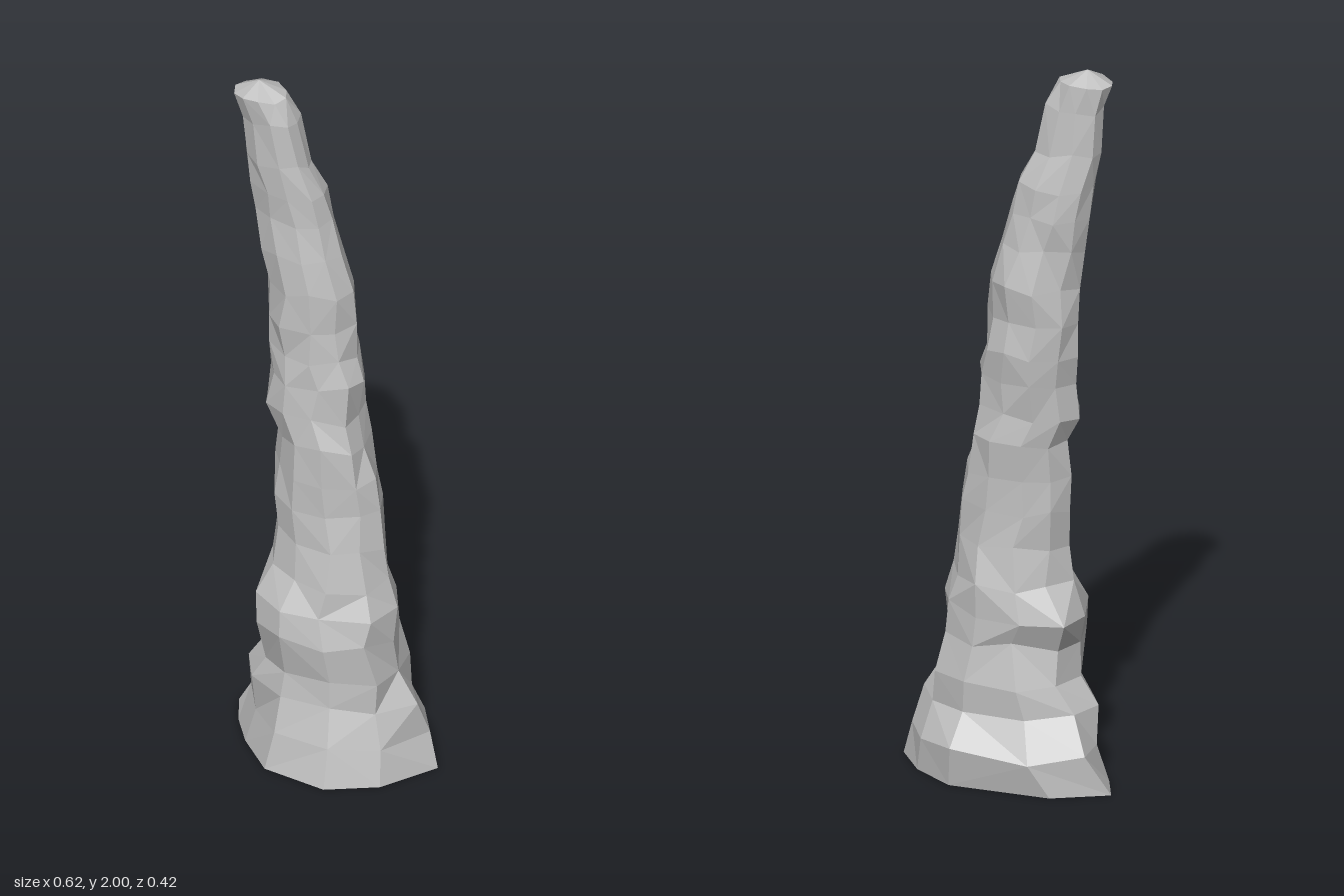
import * as THREE from 'three';

const SIDES = 10;

// Height, then x min, x max, z min, z max of each ring
const RINGS = [
  [0, -0.31, 0.31, -0.19, 0.21], [0.1, -0.25, 0.28, -0.21, 0.18],
  [0.2, -0.235, 0.26, -0.15, 0.145], [0.28, -0.185, 0.205, -0.155, 0.14],
  [0.39, -0.18, 0.2, -0.14, 0.16], [0.47, -0.2, 0.2, -0.14, 0.15],
  [0.55, -0.17, 0.175, -0.14, 0.125], [0.66, -0.155, 0.165, -0.115, 0.1],
  [0.76, -0.16, 0.15, -0.11, 0.09], [0.85, -0.165, 0.135, -0.11, 0.09],
  [0.95, -0.155, 0.1, -0.12, 0.09], [1.03, -0.19, 0.08, -0.105, 0.08],
  [1.13, -0.18, 0.095, -0.115, 0.075], [1.21, -0.19, 0.07, -0.12, 0.07],
  [1.3, -0.19, 0.07, -0.11, 0.07], [1.4, -0.195, 0.06, -0.12, 0.065],
  [1.5, -0.205, 0.03, -0.1, 0.06], [1.6, -0.22, 0, -0.095, 0.05],
  [1.68, -0.23, -0.02, -0.085, 0.055], [1.77, -0.245, -0.06, -0.06, 0.06],
  [1.9, -0.25, -0.09, -0.05, 0.065], [1.965, -0.27, -0.12, -0.045, 0.07],
];

// Irregular footprint, running from +x towards +z
const FOOT = [
  [0.31, -0.025], [0.22, 0.13], [0.095, 0.21], [-0.09, 0.19], [-0.2, 0.09],
  [-0.265, 0.005], [-0.31, -0.085], [-0.17, -0.17], [0.11, -0.19], [0.23, -0.12],
];

function seeded(seed) {
  return () => {
    seed = (seed * 16807) % 2147483647;
    return seed / 2147483647 - 0.5;
  };
}

// Stretch values so they exactly span lo..hi
function fit(values, lo, hi) {
  const a = Math.min(...values), b = Math.max(...values);
  return values.map(v => lo + (hi - lo) * (v - a) / (b - a));
}

function makeRing([y, x0, x1, z0, z1], index, rand) {
  const blend = Math.max(0, 1 - y / 0.3); // footprint fades into a rough oval
  const rough = index === 0 ? 0 : index === RINGS.length - 1 ? 0.08 : 0.16;
  const xs = [], zs = [], ys = [];
  for (let j = 0; j < SIDES; j++) {
    const a = (j + rand() * rough) / SIDES * Math.PI * 2;
    const r = 1 + rand() * rough;
    xs.push(THREE.MathUtils.lerp(Math.cos(a) * r, FOOT[j][0] / 0.31, blend));
    zs.push(THREE.MathUtils.lerp(Math.sin(a) * r, FOOT[j][1] / 0.2, blend));
    ys.push(y + rand() * rough * 0.15);
  }
  const fx = fit(xs, x0, x1), fz = fit(zs, z0, z1);
  return fx.map((x, j) => new THREE.Vector3(x, ys[j], fz[j]));
}

function pillarGeometry() {
  const rand = seeded(4711);
  const rings = RINGS.map((ring, i) => makeRing(ring, i, rand));
  const points = [];
  const tri = (...corners) => corners.forEach(p => points.push(p));
  const top = new THREE.Vector3(-0.2, 2, 0.012);
  const bottom = new THREE.Vector3(0, 0, 0);

  for (let j = 0; j < SIDES; j++) {
    const k = (j + 1) % SIDES;
    for (let i = 0; i < rings.length - 1; i++) {
      const [a, b, c, d] = [rings[i][j], rings[i][k], rings[i + 1][k], rings[i + 1][j]];
      // Alternate the diagonal for a chipped surface
      if (rand() > 0) tri(a, d, b, b, d, c);
      else tri(a, c, b, a, d, c);
    }
    const last = rings[rings.length - 1];
    tri(last[j], top, last[k]);
    tri(rings[0][j], rings[0][k], bottom);
  }
  const geometry = new THREE.BufferGeometry().setFromPoints(points);
  geometry.computeVertexNormals();
  return geometry;
}

export function createModel() {
  const stone = new THREE.MeshStandardMaterial({ color: 0xc0c0c0, flatShading: true });
  stone.name = 'pale grey stone';

  const pillar = new THREE.Mesh(pillarGeometry(), stone);
  pillar.name = 'rockPillar';

  const group = new THREE.Group();
  group.name = 'rockSpire';
  group.add(pillar);
  return group;
}
